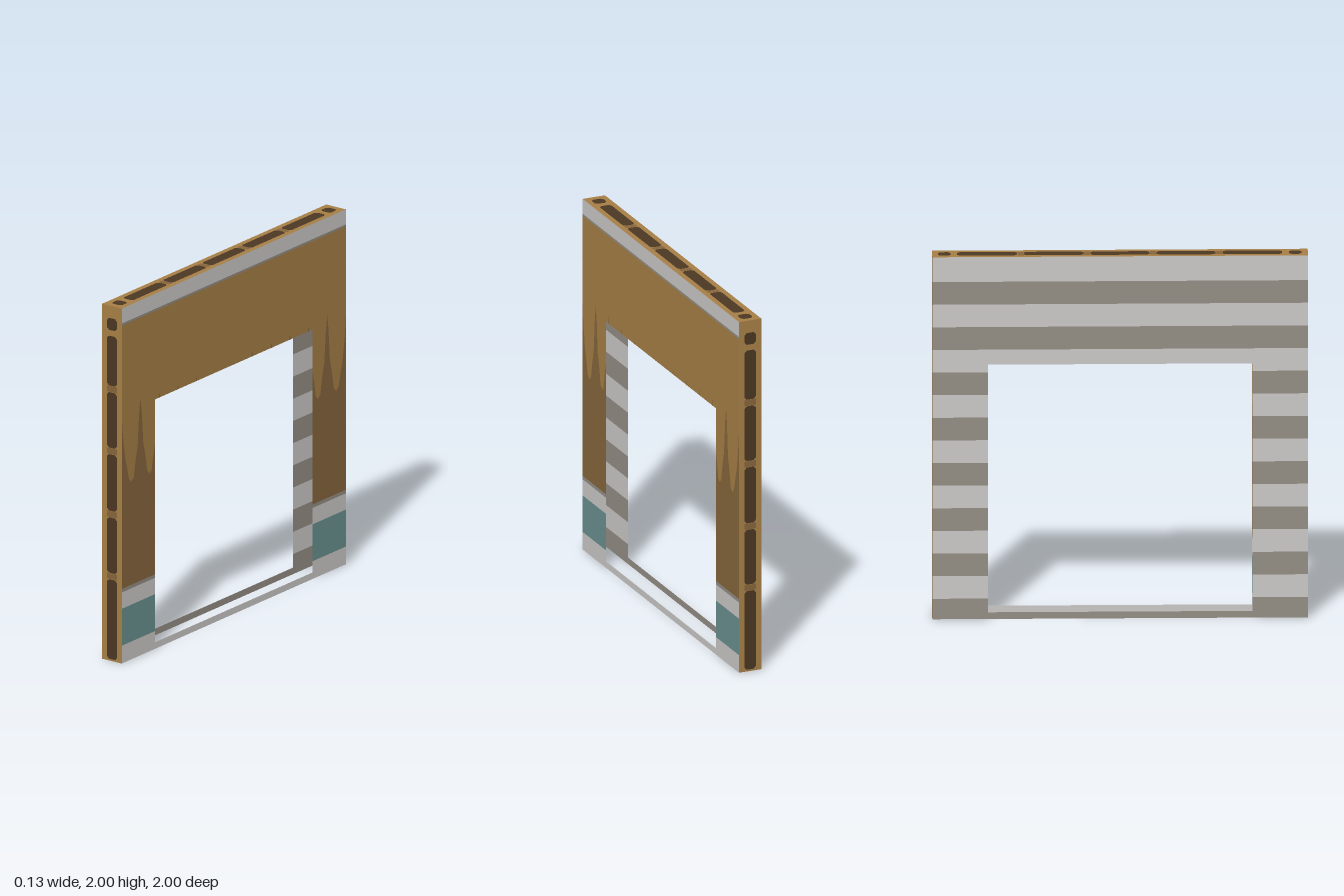
import * as THREE from 'three';

const mat = (name, color) => {
  const m = new THREE.MeshStandardMaterial({ color, side: THREE.DoubleSide });
  m.name = name;
  return m;
};

const W = 0.065; // half thickness of the wall
const DOOR = 0.703, DOOR_TOP = 1.405, SILL = 0.037;

const poly = pts => new THREE.Shape(pts.map(p => new THREE.Vector2(p[0], p[1])));
const rect = (x0, y0, x1, y1) => poly([[x0, y0], [x1, y0], [x1, y1], [x0, y1]]);

// Upright bar with cut corners
const panelShape = (y0, y1, w = 0.034, c = 0.014) => poly([
  [-w + c, y0], [w - c, y0], [w, y0 + c], [w, y1 - c],
  [w - c, y1], [-w + c, y1], [-w, y1 - c], [-w, y0 + c]]);

export function createModel() {
  const ochre = mat('ochre plaster', 0xa67f46);
  const brown = mat('brown stain', 0x86653c);
  const dark = mat('dark recess', 0x4b3723);
  const pale = mat('pale grey', 0xcac9c7);
  const grey = mat('warm grey', 0x948d84);
  const teal = mat('teal paint', 0x68908e);

  const model = new THREE.Group();
  model.name = 'doorwayWall';

  const group = name => {
    const g = new THREE.Group();
    g.name = name;
    model.add(g);
    return g;
  };
  const add = (parent, name, shapes, material) => {
    const m = new THREE.Mesh(new THREE.ShapeGeometry(shapes), material);
    m.name = name;
    parent.add(m);
  };

  // A horizontal band, cut wherever the door opening passes through it
  const band = (y0, y1) => {
    const out = [];
    const cuts = [y0, SILL, DOOR_TOP, y1].filter(y => y >= y0 && y <= y1);
    for (let i = 0; i < cuts.length - 1; i++) {
      const a = cuts[i], b = cuts[i + 1];
      if (b - a < 1e-4) continue;
      const mid = (a + b) / 2;
      if (mid > SILL && mid < DOOR_TOP) {
        out.push(rect(-1, a, -DOOR, b), rect(DOOR, a, 1, b));
      } else out.push(rect(-1, a, 1, b));
    }
    return out;
  };

  // Painted face on the +x side
  const painted = group('paintedFace');
  painted.rotation.y = Math.PI / 2;
  painted.position.x = W;
  add(painted, 'baseBand', band(0, 0.1), pale);
  add(painted, 'tealBand', band(0.1, 0.308), teal);
  add(painted, 'upperBaseBand', band(0.308, 0.4), pale);
  add(painted, 'baseTrim', band(0.4, 0.42), grey);
  add(painted, 'topTrim', band(1.903, 1.915), grey);
  add(painted, 'topBand', band(1.915, 2), pale);

  // Ragged stain edge, from the outer edge of a pier to the door
  const drip = [[1, 1.4], [0.99, 1.28], [0.97, 1.15], [0.955, 1.1], [0.935, 1.02], [0.915, 1.0],
    [0.893, 1.02], [0.875, 1.12], [0.858, 1.19], [0.845, 1.37], [0.834, 1.45], [0.822, 1.37],
    [0.808, 1.19], [0.79, 1.12], [0.772, 1.02], [0.75, 1.0], [0.732, 1.02], [0.718, 1.1], [DOOR, 1.16]];
  const flip = pts => pts.map(([x, y]) => [-x, y]);
  const pier = [[DOOR, 0.42], [1, 0.42], ...drip];
  add(painted, 'stain', [poly(pier), poly(flip(pier))], brown);
  add(painted, 'plaster', poly([
    [-1, 1.903], [1, 1.903], ...drip, [DOOR, DOOR_TOP], [-DOOR, DOOR_TOP], ...flip(drip).reverse()]), ochre);

  // Small stain tips over the door
  const tips = [-0.665, -0.5, -0.335, 0.165, 0.335, 0.5, 0.665].map(z =>
    poly([[z - 0.004, DOOR_TOP], [z + 0.004, DOOR_TOP], [z, 1.45]]));
  add(painted, 'stainTips', tips, brown);
  painted.children.at(-1).position.z = 0.001;

  // Striped face on the -x side
  const striped = group('stripedFace');
  striped.rotation.y = -Math.PI / 2;
  striped.position.x = -W;
  const stripes = [[], []];
  for (let i = 0; i < 16; i++) {
    const y0 = i ? i * 0.125 - 0.012 : 0;
    const y1 = i < 15 ? (i + 1) * 0.125 - 0.012 : 2;
    stripes[i % 2].push(...band(y0, y1));
  }
  add(striped, 'darkStripes', stripes[0], grey);
  add(striped, 'paleStripes', stripes[1], pale);

  // Narrow edge strip with dark recesses and brown ties between them
  const edge = (name, spans, lo, hi) => {
    const g = group(name);
    const recesses = spans.map(([a, b]) => panelShape(a, b));
    const ties = [];
    const bars = spans.filter(([a, b]) => b - a > 0.1);
    for (let i = 0; i < bars.length - 1; i++) {
      ties.push(rect(-0.034, bars[i][1] + 0.002, 0.034, bars[i + 1][0] - 0.002));
    }
    const frame = rect(-W, lo, W, hi);
    frame.holes.push(...recesses, ...ties);
    add(g, 'edgeFrame', frame, ochre);
    add(g, 'edgeRecesses', recesses, dark);
    add(g, 'edgeTies', ties, brown);
    return g;
  };

  const endSpans = [[0.01, 0.458], [0.495, 0.807], [0.845, 1.163], [1.2, 1.512], [1.55, 1.83], [1.863, 1.93]];
  edge('frontEdge', endSpans, 0, 2).position.z = 1;
  const back = edge('backEdge', endSpans, 0, 2);
  back.rotation.y = Math.PI;
  back.position.z = -1;

  const topSpans = [[-0.965, -0.9], [-0.862, -0.545], [-0.507, -0.195], [-0.157, 0.157],
    [0.195, 0.51], [0.548, 0.867], [0.902, 0.968]];
  const top = edge('topEdge', topSpans, -1, 1);
  top.rotation.x = -Math.PI / 2;
  top.position.y = 2;

  return model;
}
